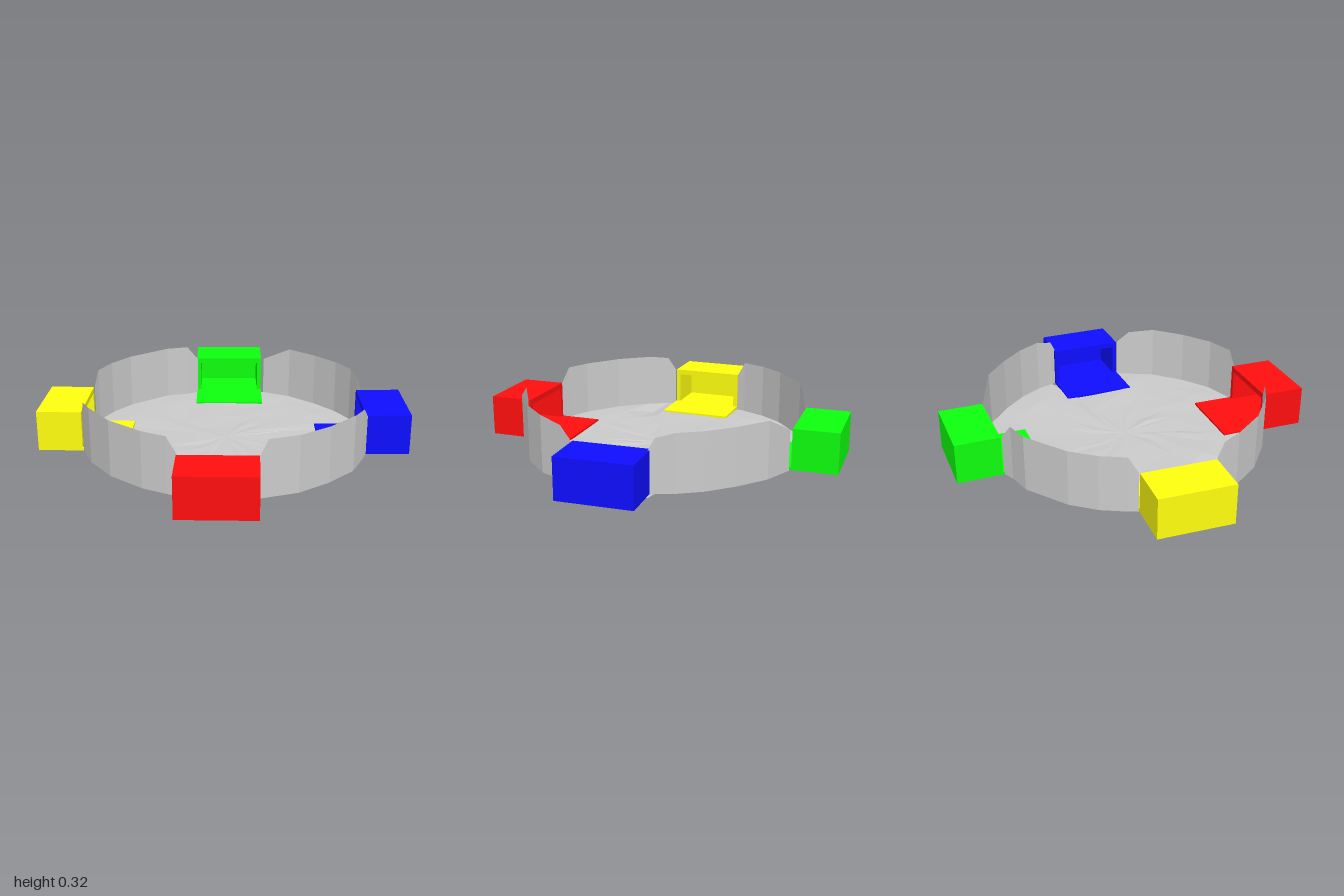
import * as THREE from 'three';

// Rim arcs between the goals: [x, z, wall top]
const ARCS = [
  [[0.76, 0.19, 0.24], [0.735, 0.26, 0.305], [0.68, 0.4, 0.325], [0.55, 0.55, 0.325], [0.4, 0.67, 0.325], [0.25, 0.73, 0.325], [0.21, 0.745, 0.24]],
  [[-0.185, 0.745, 0.24], [-0.24, 0.725, 0.325], [-0.37, 0.67, 0.325], [-0.55, 0.54, 0.325], [-0.68, 0.38, 0.325], [-0.73, 0.28, 0.315], [-0.75, 0.235, 0.24]],
  [[-0.76, -0.17, 0.24], [-0.745, -0.22, 0.325], [-0.69, -0.35, 0.325], [-0.6, -0.48, 0.325], [-0.4, -0.65, 0.325], [-0.28, -0.69, 0.325], [-0.22, -0.725, 0.24]],
  [[0.19, -0.75, 0.24], [0.35, -0.685, 0.325], [0.5, -0.57, 0.325], [0.62, -0.45, 0.325], [0.7, -0.33, 0.325], [0.735, -0.24, 0.3], [0.75, -0.21, 0.24]],
];
const FLOOR_Y = 0.026;

function surface(name, points, index) {
  const geo = new THREE.BufferGeometry();
  geo.setAttribute('position', new THREE.Float32BufferAttribute(points, 3));
  geo.setIndex(index);
  geo.computeVertexNormals();
  const mat = new THREE.MeshStandardMaterial({ color: 0xcccccc, flatShading: true, side: THREE.DoubleSide });
  const mesh = new THREE.Mesh(geo, mat);
  mesh.name = name;
  return mesh;
}

// Thin upright wall following one arc, sloping down beside the goals
function arenaWall(arc) {
  const points = [], index = [];
  arc.forEach(([x, z, top], i) => {
    points.push(x, 0.02, z, x, top, z);
    if (i) {
      const a = 2 * i - 2;
      index.push(a, a + 1, a + 2, a + 1, a + 3, a + 2);
    }
  });
  return surface('arenaWall', points, index);
}

// Slightly uneven floor made of rings shrinking toward the middle
function arenaFloor() {
  let seed = 7;
  const random = () => (seed = (seed * 16807) % 2147483647) / 2147483647;
  const rim = ARCS.flat(), n = rim.length, rings = [1, 0.82, 0.62, 0.42, 0.22];
  const points = [], index = [];
  rings.forEach((s, r) => rim.forEach(([x, z], i) => {
    const y = r === 0 ? 0.02 : FLOOR_Y + (random() - 0.5) * 0.008;
    points.push(x * s, y, z * s);
    if (r) {
      const a = (r - 1) * n + i, b = (r - 1) * n + (i + 1) % n;
      index.push(a, a + n, b, b, a + n, b + n);
    }
  }));
  points.push(0, FLOOR_Y, 0);
  const last = (rings.length - 1) * n;
  for (let i = 0; i < n; i++) index.push(last + i, rings.length * n, last + (i + 1) % n);
  // Low spots at the rim and beside one goal
  points[3 * (n - 1) + 1] = 0.0;
  let near = 0, best = 9;
  for (let i = 0; i < points.length; i += 3) {
    const d = Math.hypot(points[i] + 0.53, points[i + 2] - 0.26);
    if (d < best) { best = d; near = i; }
  }
  points[near + 1] = 0.004;
  return surface('arenaFloor', points, index);
}

// Hollow goal open toward the middle, with a floor plate reaching into the arena
function goal(name, color, x, z, angle) {
  const g = new THREE.Group();
  g.name = name;
  const mat = new THREE.MeshStandardMaterial({ color });
  const w = 0.4, start = 0.23, end = 0.47, low = 0.02, plateTop = 0.036, high = 0.24;
  const side = 0.025, roof = 0.03;
  const box = (part, x0, x1, y0, y1, z0, z1) => {
    const m = new THREE.Mesh(new THREE.BoxGeometry(x1 - x0, y1 - y0, z1 - z0), mat);
    m.position.set((x0 + x1) / 2, (y0 + y1) / 2, (z0 + z1) / 2);
    m.name = part;
    g.add(m);
  };
  box('goalPlate', -w / 2, w / 2, low, plateTop, 0, end);
  box('goalRoof', -w / 2, w / 2, high - roof, high, start, end);
  box('goalBack', -w / 2, w / 2, plateTop, high - roof, end - 0.025, end);
  for (const s of [-1, 1]) {
    const c = s * (w - side) / 2;
    box('goalSide', c - side / 2, c + side / 2, plateTop, high - roof, start, end - 0.025);
  }
  g.position.set(x, 0, z);
  g.rotation.y = angle;
  return g;
}

export function createModel() {
  const model = new THREE.Group();
  model.name = 'arena';
  model.add(arenaFloor());
  ARCS.forEach(arc => model.add(arenaWall(arc)));
  model.add(
    goal('frontGoal', 0xff0e0e, 0, 0.51, 0.04),
    goal('backGoal', 0x0eff0e, -0.01, -0.515, Math.PI + 0.065),
    goal('leftGoal', 0x0e0eff, 0.51, 0, Math.PI / 2 + 0.07),
    goal('rightGoal', 0xffff0e, -0.53, 0.028, -Math.PI / 2 + 0.022),
  );
  return model;
}
